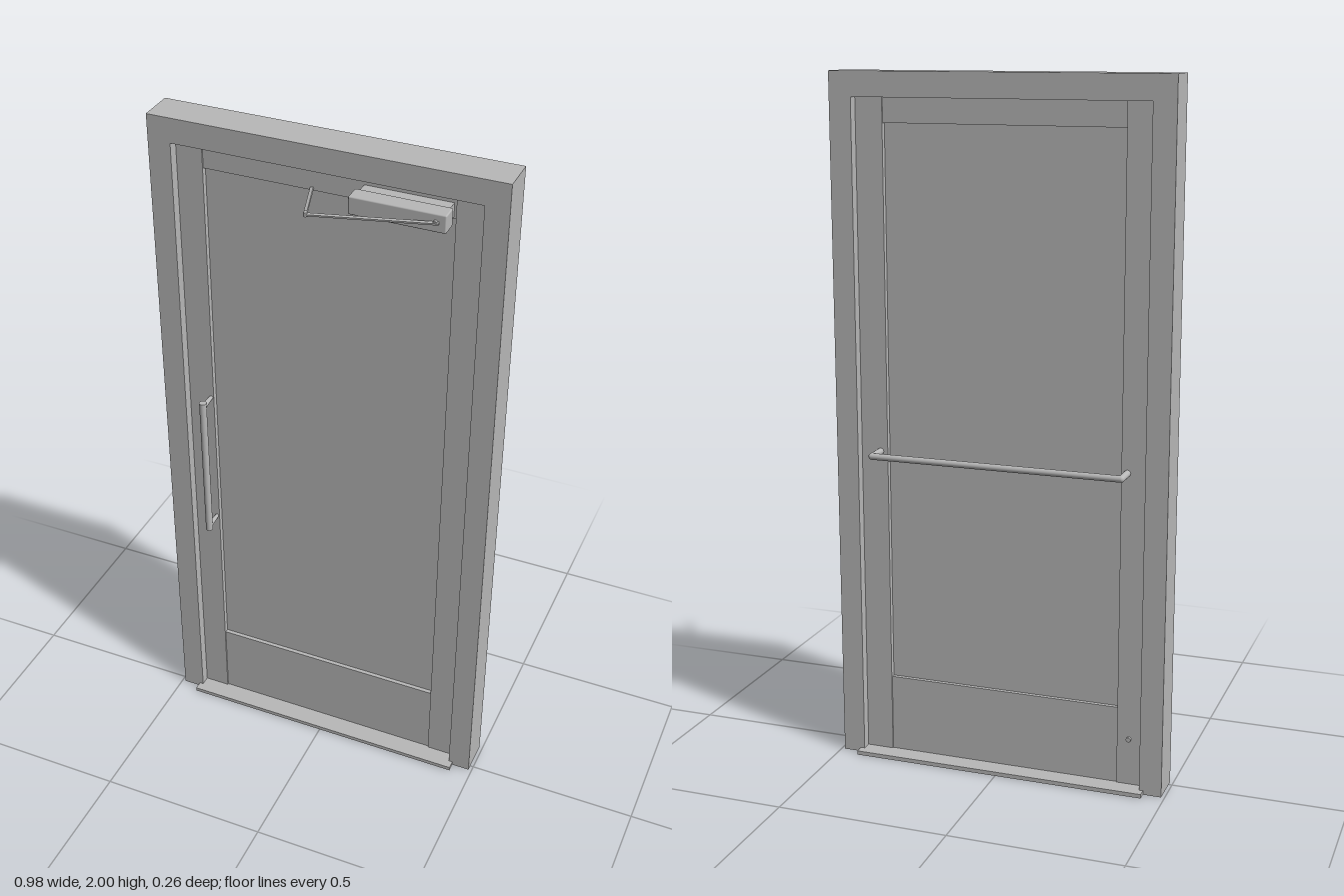
import * as THREE from 'three';
import { RoundedBoxGeometry } from 'three/addons/geometries/RoundedBoxGeometry.js';

export function createModel() {
  const model = new THREE.Group();
  model.name = 'door';
  const metal = new THREE.MeshStandardMaterial({ color: 0xb8b8b8 });
  metal.name = 'satin grey metal';

  const add = (name, geometry, parent = model) => {
    const mesh = new THREE.Mesh(geometry, metal);
    mesh.name = name;
    parent.add(mesh);
    return mesh;
  };
  // Box given by its limits on each axis
  const box = (name, x0, x1, y0, y1, z0, z1) => {
    const mesh = add(name, new THREE.BoxGeometry(x1 - x0, y1 - y0, z1 - z0));
    mesh.position.set((x0 + x1) / 2, (y0 + y1) / 2, (z0 + z1) / 2);
    return mesh;
  };
  // Round or flat bar between two points
  const bar = (name, a, b, geometryFor) => {
    const p = new THREE.Vector3(...a), q = new THREE.Vector3(...b);
    const mesh = add(name, geometryFor(p.distanceTo(q)));
    mesh.position.copy(p).add(q).multiplyScalar(0.5);
    mesh.quaternion.setFromUnitVectors(new THREE.Vector3(0, 1, 0), q.sub(p).normalize());
    return mesh;
  };
  const rod = (r0, r1 = r0) => (length) => new THREE.CylinderGeometry(r1, r0, length, 20);
  const flat = (w, t) => (length) => new THREE.BoxGeometry(w, length, t);

  // Surrounding frame, open at the bottom
  const outline = new THREE.Shape([
    [-0.49, 0], [-0.425, 0], [-0.425, 1.93], [0.425, 1.93],
    [0.425, 0], [0.49, 0], [0.49, 2], [-0.49, 2],
  ].map(([x, y]) => new THREE.Vector2(x, y)));
  const frame = add('frame', new THREE.ExtrudeGeometry(outline, { depth: 0.104, bevelEnabled: false }));
  frame.position.z = -0.087;

  // Threshold
  box('threshold', -0.437, 0.437, 0, 0.012, -0.113, 0.043);

  // Door leaf: stiles, slightly inset rails, and a recessed panel
  const front = -0.012, back = -0.058;
  box('rightStile', -0.425, -0.35, 0.012, 1.93, back, front);
  box('leftStile', 0.345, 0.425, 0.012, 1.93, back, front);
  box('topRail', -0.35, 0.345, 1.86, 1.93, back + 0.004, front - 0.004);
  box('bottomRail', -0.35, 0.345, 0.012, 0.24, back + 0.004, front - 0.004);
  box('panel', -0.35, 0.345, 0.24, 1.86, -0.042, -0.028);

  // Vertical pull handle on the front
  const pullX = -0.358, pullZ = 0.04;
  bar('pullHandle', [pullX, 0.7, pullZ], [pullX, 1.155, pullZ], rod(0.0105));
  for (const y of [0.713, 1.142]) {
    bar('pullStandoff', [pullX, y, front - 0.003], [pullX, y, pullZ], rod(0.005, 0.009));
  }

  // Horizontal push bar on the back, returning to the stiles
  const pushY = 0.93, pushZ = -0.121, pushX = 0.367;
  bar('pushBar', [-pushX, pushY, pushZ], [pushX, pushY, pushZ], rod(0.0095));
  for (const side of [-1, 1]) {
    bar('pushBarReturn', [side * pushX, pushY, back], [side * pushX, pushY, pushZ], rod(0.0095));
    const elbow = add('pushBarElbow', new THREE.SphereGeometry(0.0095, 20, 12));
    elbow.position.set(side * pushX, pushY, pushZ);
  }

  // Small lock on the back of the right stile
  bar('lock', [-0.385, 0.15, back + 0.002], [-0.385, 0.15, back - 0.008], rod(0.007));

  // Door closer: body, mount and folding arm
  const body = add('closerBody', new RoundedBoxGeometry(0.258, 0.05, 0.047, 2, 0.004));
  body.position.set(0.219, 1.885, 0.0435);
  box('closerMount', 0.1, 0.338, 1.866, 1.904, front - 0.005, 0.03);
  const elbow = [0, 1.868, 0.122];
  bar('closerMainArm', [0.33, 1.888, 0.071], elbow, flat(0.005, 0.009));
  bar('closerForearm', elbow, [-0.043, 1.866, front - 0.005], flat(0.009, 0.005));
  bar('closerElbow', [0, 1.862, 0.12], [0, 1.874, 0.12], rod(0.006));
  bar('closerPivot', [0.32, 1.888, 0.06], [0.32, 1.888, 0.074], rod(0.006));

  return model;
}
